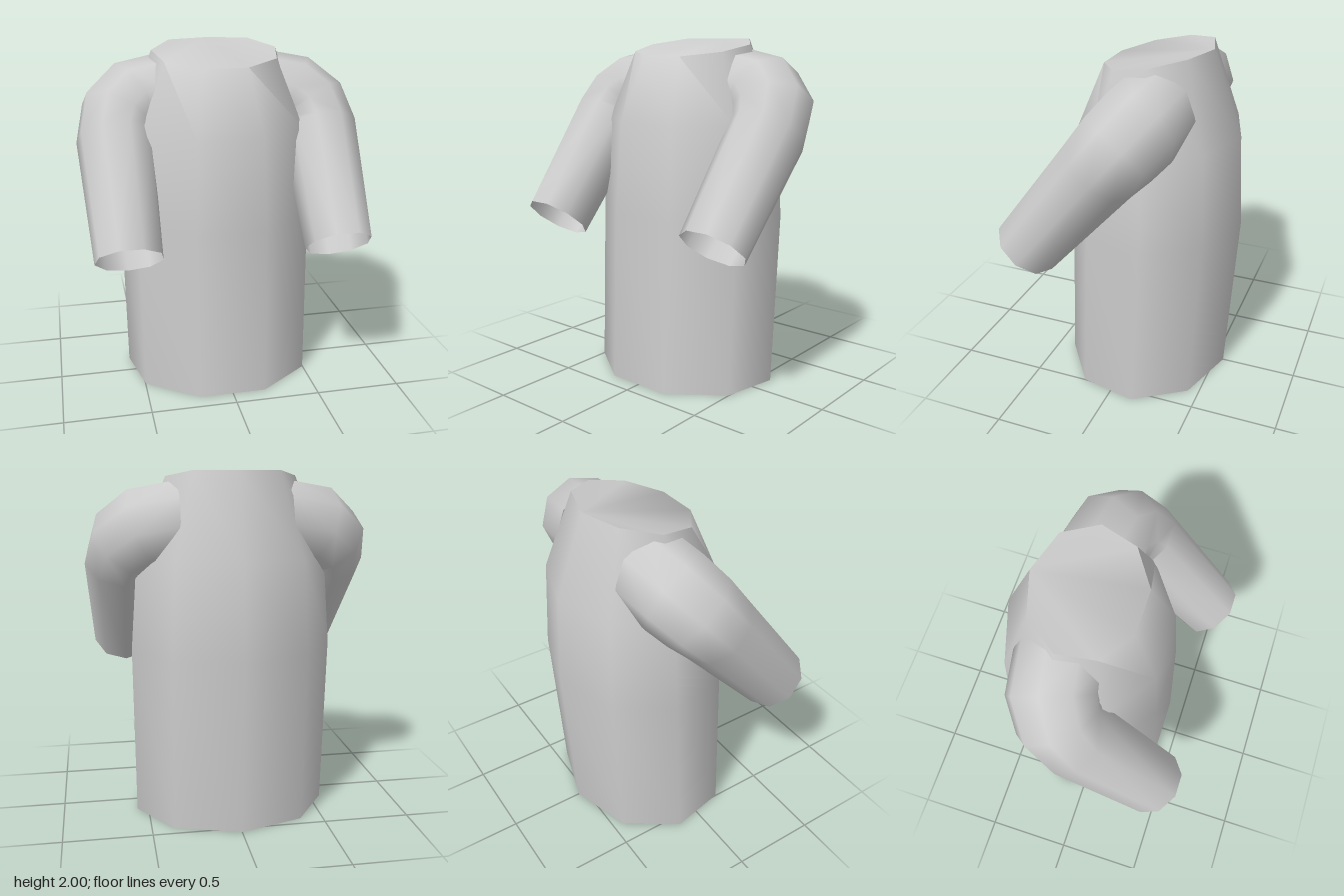
import * as THREE from 'three';
import { toCreasedNormals } from 'three/addons/utils/BufferGeometryUtils.js';

const SIDES = 9;

// Skin a list of rings (arrays of SIDES points); optionally close both ends
function loft(rings, capped) {
  const pos = rings.flat().flatMap((p) => p.toArray());
  const idx = [];
  for (let i = 0; i < rings.length - 1; i++) {
    for (let j = 0; j < SIDES; j++) {
      const k = (j + 1) % SIDES;
      const a = i * SIDES + j, b = i * SIDES + k;
      const c = b + SIDES, d = a + SIDES;
      idx.push(a, d, c, a, c, b);
    }
  }
  if (capped) {
    const top = (rings.length - 1) * SIDES;
    for (let j = 1; j < SIDES - 1; j++) {
      idx.push(0, j, j + 1);
      idx.push(top, top + j + 1, top + j);
    }
  }
  const geo = new THREE.BufferGeometry();
  geo.setAttribute('position', new THREE.Float32BufferAttribute(pos, 3));
  geo.setIndex(idx);
  geo.computeVertexNormals();
  return geo;
}

function ring(fn) {
  return Array.from({ length: SIDES }, (_, j) => fn((j / SIDES) * Math.PI * 2));
}

// Torso: nine-sided rings with a corner at the back, neck slopes down to the front
function torsoGeometry() {
  const sections = [ // y, half width, half depth, centre z
    [0, 0.575, 0.49, -0.06],
    [1, 0.585, 0.5, -0.11],
    [1.53, 0.545, 0.465, -0.116],
    [2, 0.373, 0.303, -0.108],
  ];
  const rings = sections.map(([y, rx, rz, cz], i) => ring((t) => {
    const z = cz - rz * Math.cos(t);
    const drop = i === 3 ? Math.max(0, (z + 0.34) * 0.192) : 0;
    return new THREE.Vector3(rx * Math.sin(t), y - drop, z);
  }));
  return toCreasedNormals(loft(rings, true), 1.08);
}

// Sleeve: shoulder bends a quarter turn from sideways to forward and down
function sleeveGeometry() {
  const side = new THREE.Vector3(1, 0, 0);
  const down = new THREE.Vector3(0, -0.77, 0.64).normalize();
  const under = side.clone().cross(down);
  const elbow = new THREE.Vector3(0.34, 1.5, 0);
  const bend = 0.265;

  const sleeveRing = (angle, r, along = 0, shift = 0) => {
    const c = elbow.clone()
      .addScaledVector(side, bend * Math.sin(angle) + shift)
      .addScaledVector(down, -bend * Math.cos(angle) + along);
    const v = down.clone().multiplyScalar(Math.cos(angle))
      .addScaledVector(side, -Math.sin(angle));
    return ring((t) => c.clone()
      .addScaledVector(under, r * Math.cos(t))
      .addScaledVector(v, r * Math.sin(t)));
  };

  return loft([
    sleeveRing(0, 0.245, 0, -0.03),
    sleeveRing(Math.PI / 6, 0.245),
    sleeveRing(Math.PI / 3, 0.237),
    sleeveRing(Math.PI / 2, 0.22),
    sleeveRing(Math.PI / 2, 0.19, 0.73, -0.015),
  ], false);
}

export function createModel() {
  const group = new THREE.Group();
  group.name = 'shirt';

  const torso = new THREE.Mesh(torsoGeometry(),
    new THREE.MeshStandardMaterial({ color: 0xcccccc }));
  torso.name = 'torso';
  group.add(torso);

  // Open-ended sleeves, mirrored
  const cloth = new THREE.MeshStandardMaterial({ color: 0xcccccc, side: THREE.DoubleSide });
  const geo = sleeveGeometry();
  for (const s of [1, -1]) {
    const sleeve = new THREE.Mesh(geo, cloth);
    sleeve.name = s > 0 ? 'leftSleeve' : 'rightSleeve';
    sleeve.scale.x = s;
    group.add(sleeve);
  }
  return group;
}
